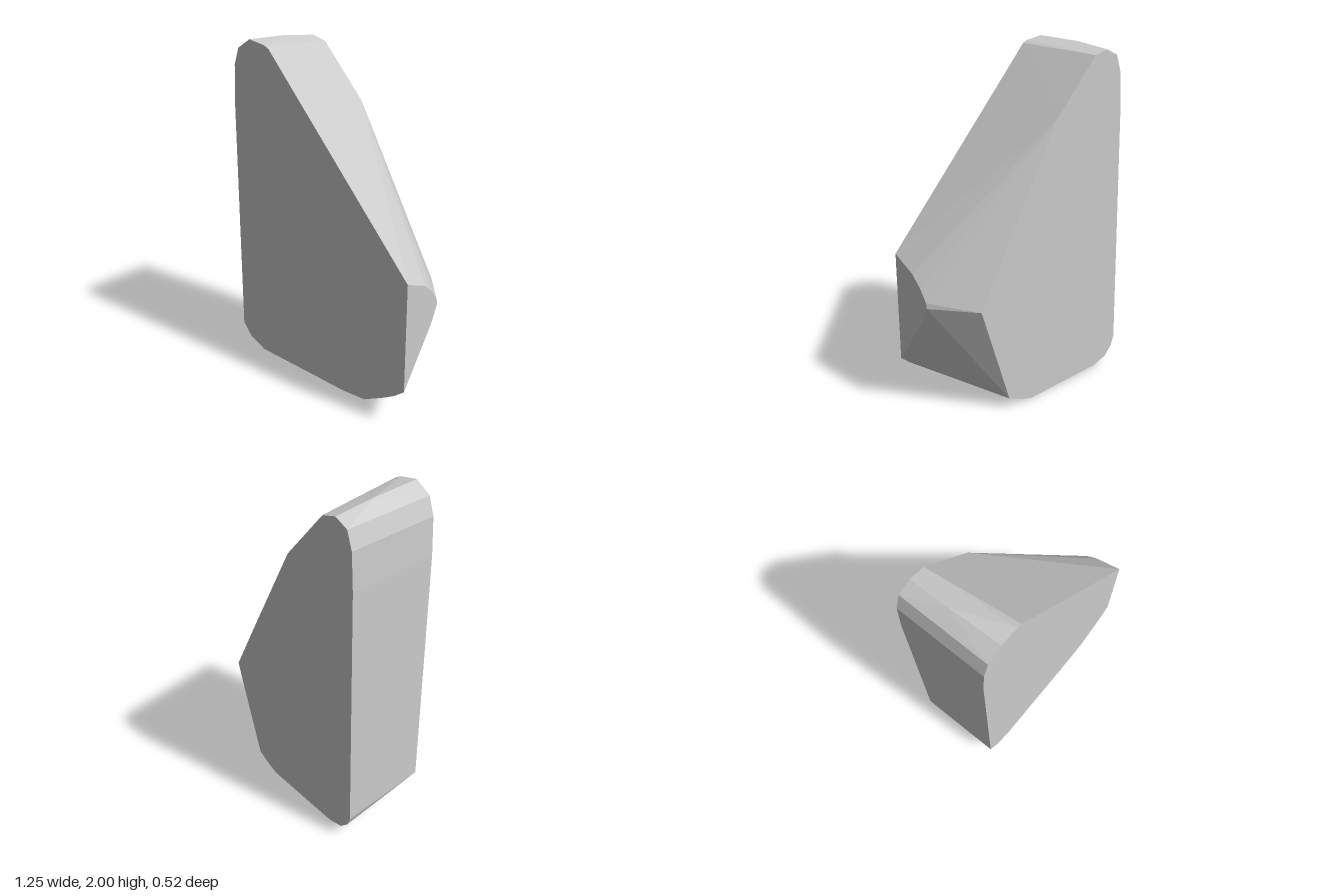
import * as THREE from 'three';
import { ConvexGeometry } from 'three/addons/geometries/ConvexGeometry.js';

// Faceted boulder: the convex skin around three flat cut faces.
export function createModel() {
  const group = new THREE.Group();
  group.name = 'boulder';
  const half = 0.26;

  // Front face outline (x, y)
  const front = [
    [-0.622, 0.21], [-0.56, 0.13], [-0.45, 0.08], [0.2, 0.06], [0.35, 0.07],
    [0.49, 0.146], [0.56, 0.19], [0.62, 0.24], [0.62, 0.89], [-0.31, 1.965],
    [-0.34, 1.98], [-0.45, 2], [-0.54, 1.945], [-0.575, 1.85], [-0.59, 1.65],
  ];
  // Back face outline (x, y)
  const back = [
    [-0.625, 0.17], [-0.605, 0.11], [-0.55, 0.05], [-0.45, 0.02], [0.07, 0],
    [0.14, 0.02], [0.24, 0.065], [0.43, 0.66], [-0.1, 1.63], [-0.37, 1.935],
    [-0.46, 1.96], [-0.54, 1.925], [-0.575, 1.83], [-0.59, 1.62],
  ];
  // Rounded edge of the small side face (y, z)
  const side = [[0.56, 0.02], [0.66, -0.03], [0.69, -0.022], [0.76, 0.03], [0.82, 0.1]];

  const points = [
    ...front.map(([x, y]) => new THREE.Vector3(x, y, half)),
    ...back.map(([x, y]) => new THREE.Vector3(x, y, -half)),
    ...side.map(([y, z]) => new THREE.Vector3(0.62, y, z)),
    new THREE.Vector3(-0.46, 1.987, -0.03), // slight crown on the top ridge
  ];

  const rock = new THREE.Mesh(
    new ConvexGeometry(points),
    new THREE.MeshStandardMaterial({ color: 0xcccccc, flatShading: true }),
  );
  rock.name = 'rock';
  group.add(rock);
  return group;
}
